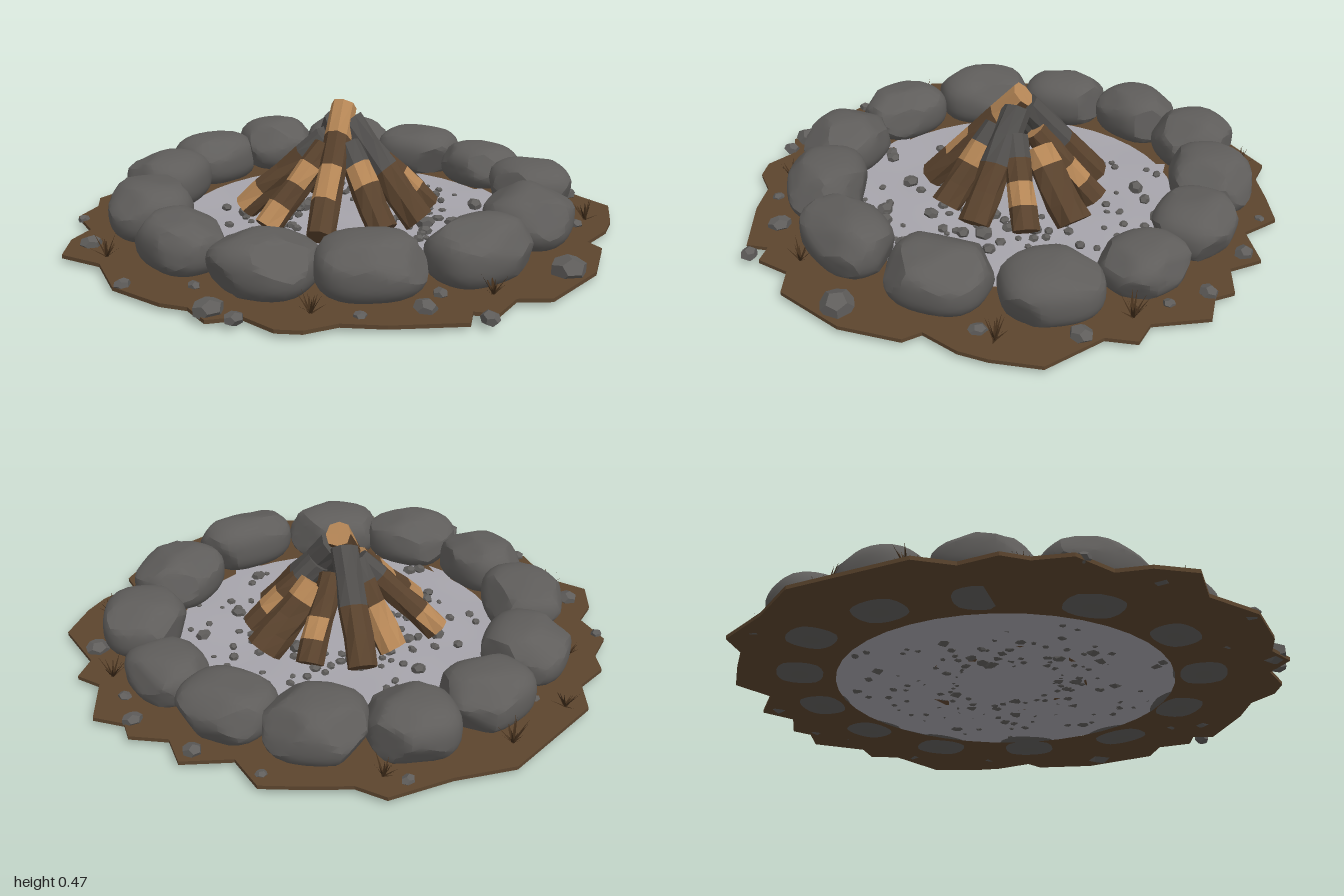
import * as THREE from 'three';
import { mergeGeometries, toCreasedNormals } from 'three/addons/utils/BufferGeometryUtils.js';

let seed = 11;
const rnd = () => {
  seed = (seed * 1664525 + 1013904223) >>> 0;
  return seed / 4294967296;
};
const range = (a, b) => a + (b - a) * rnd();

const material = (name, color, side = THREE.FrontSide) => {
  const m = new THREE.MeshStandardMaterial({ color, side });
  m.name = name;
  return m;
};

const named = (name, geometry, mat) => {
  const mesh = new THREE.Mesh(geometry, mat);
  mesh.name = name;
  return mesh;
};

// Ragged outline of the earth patch, as x, z pairs
const OUTLINE = [
  0.02, -1, 0.22, -0.93, 0.44, -0.89, 0.49, -0.79, 0.61, -0.71, 0.73, -0.62, 0.72, -0.47, 0.87, -0.38,
  0.84, -0.26, 0.94, -0.17, 0.92, -0.1, 0.99, -0.01, 0.89, 0.16, 0.93, 0.25, 0.85, 0.32, 0.84, 0.55,
  0.71, 0.66, 0.62, 0.71, 0.48, 0.74, 0.47, 0.81, 0.29, 0.93, 0.02, 0.98, -0.07, 0.91, -0.19, 0.95,
  -0.24, 0.89, -0.3, 0.94, -0.5, 0.8, -0.6, 0.7, -0.71, 0.67, -0.77, 0.61, -0.79, 0.48, -0.89, 0.43,
  -0.88, 0.32, -0.93, 0.24, -0.98, 0.04, -0.92, -0.16, -0.98, -0.31, -0.89, -0.42, -0.79, -0.47,
  -0.76, -0.62, -0.65, -0.68, -0.6, -0.76, -0.47, -0.79, -0.39, -0.9,
];

// x, z, half width along the ring, half depth, height
const STONES = [
  [-0.09, -0.72, 0.165, 0.14, 0.19], [0.22, -0.72, 0.15, 0.15, 0.2], [0.47, -0.55, 0.17, 0.15, 0.2],
  [0.64, -0.29, 0.165, 0.14, 0.18], [0.7, 0.01, 0.155, 0.13, 0.165], [0.62, 0.34, 0.17, 0.15, 0.19],
  [0.35, 0.58, 0.175, 0.155, 0.2], [-0.02, 0.7, 0.19, 0.13, 0.205], [-0.37, 0.57, 0.18, 0.145, 0.2],
  [-0.61, 0.34, 0.175, 0.15, 0.195], [-0.7, 0.01, 0.165, 0.135, 0.19], [-0.62, -0.33, 0.18, 0.15, 0.2],
  [-0.39, -0.59, 0.165, 0.15, 0.195],
];

// foot x, z; top x, y, z; radius; surface from foot to top (b bark, w bare wood, c char)
const LOGS = [
  [0.33, -0.01, 0.11, 0.25, -0.02, 0.065, 'bbbw'], [0.25, -0.18, 0.06, 0.29, -0.05, 0.05, 'bwbb'],
  [0.11, -0.31, 0.01, 0.38, -0.05, 0.055, 'bbcc'], [-0.05, -0.27, -0.02, 0.32, -0.06, 0.055, 'wwbc'],
  [-0.27, -0.25, -0.05, 0.32, -0.05, 0.05, 'wbbc'], [-0.34, -0.02, -0.08, 0.3, -0.01, 0.05, 'wbwb'],
  [-0.26, 0.18, 0.02, 0.43, -0.03, 0.052, 'bwbw'], [-0.05, 0.27, -0.03, 0.31, 0.05, 0.055, 'bbwc'],
  [0.12, 0.27, 0.02, 0.38, 0, 0.057, 'bbcc'], [0.27, 0.16, 0.06, 0.3, 0.04, 0.05, 'bwbc'],
];

const TUFTS = [
  [-0.62, 0.59], [-0.33, -0.85], [-0.05, -0.9], [0.39, -0.8], [-0.58, -0.62],
  [-0.87, -0.2], [0.65, 0.59], [-0.1, 0.84], [0.83, 0.18],
];

// Rounded boulder with a few facets planed off
function boulder(hx, hz, height) {
  const geo = new THREE.IcosahedronGeometry(1, 5);
  const planes = Array.from({ length: 9 }, () => [
    new THREE.Vector3(range(-1, 1), range(-0.3, 1), range(-1, 1)).normalize(), range(0.9, 1.03),
  ]);
  const pos = geo.attributes.position;
  const p = new THREE.Vector3();
  for (let i = 0; i < pos.count; i++) {
    p.fromBufferAttribute(pos, i);
    const norm = (Math.abs(p.x) ** 2.7 + Math.abs(p.y) ** 2.7 + Math.abs(p.z) ** 2.7) ** (1 / 2.7);
    p.divideScalar(norm);
    for (const [n, d] of planes) {
      const over = p.dot(n) - d;
      if (over > 0) p.addScaledVector(n, -over);
    }
    pos.setXYZ(i, p.x * hx, p.y * height / 2, p.z * hz);
  }
  return toCreasedNormals(geo, 0.45);
}

// Small faceted pebble
function pebble(x, y, z, r) {
  const geo = new THREE.DodecahedronGeometry(1, 0);
  geo.scale(r * range(0.8, 1.15), r * range(0.55, 0.8), r * range(0.8, 1.15));
  geo.rotateY(range(0, 6.28)).rotateX(range(-0.25, 0.25)).translate(x, y, z);
  geo.computeVertexNormals();
  return geo;
}

// Faceted log whose upper faces follow the surface string
function log([fx, fz, tx, ty, tz, r, skin]) {
  const foot = new THREE.Vector3(fx, 0.05, fz), top = new THREE.Vector3(tx, ty, tz);
  const dir = top.clone().sub(foot), sides = 8, bands = skin.length;
  const length = dir.length();
  let geo = new THREE.CylinderGeometry(r * 0.9, r, length, sides, bands);
  const pos = geo.attributes.position;
  const phase = range(0, 6);
  for (let i = 0; i < pos.count; i++) {
    const x = pos.getX(i), y = pos.getY(i), z = pos.getZ(i);
    const k = 1 + 0.07 * Math.sin(x * 90 + z * 60 + y * 25 + phase);
    pos.setXYZ(i, x * k, y + 0.12 * x * Math.sin(phase), z * k);
  }
  geo.applyQuaternion(new THREE.Quaternion().setFromUnitVectors(new THREE.Vector3(0, 1, 0), dir.normalize()));
  geo.translate((fx + tx) / 2, (0.05 + ty) / 2, (fz + tz) / 2);
  geo = geo.toNonIndexed();
  geo.computeVertexNormals();
  geo.clearGroups();
  const cells = sides * bands;
  for (let i = 0; i < cells; i++) {
    const s = skin[bands - 1 - (i % bands)];
    const up = geo.attributes.normal.getY(i * 6) > 0.1;
    geo.addGroup(i * 6, 6, s === 'c' ? 2 : s === 'w' && up ? 1 : 0);
  }
  geo.addGroup(cells * 6, sides * 3, skin.endsWith('c') ? 2 : 1);
  geo.addGroup(cells * 6 + sides * 3, sides * 3, 0);
  return geo;
}

// Dry grass: a fan of thin triangular blades
function tuft(x, z) {
  const v = [];
  for (let i = 0; i < 16; i++) {
    const a = range(0, 6.28), c = Math.cos(a), s = Math.sin(a);
    const reach = range(0.015, 0.06), w = 0.006;
    v.push(x - s * w, 0.02, z + c * w, x + s * w, 0.02, z - c * w,
      x + c * reach, range(0.04, 0.1), z + s * reach);
  }
  const geo = new THREE.BufferGeometry();
  geo.setAttribute('position', new THREE.Float32BufferAttribute(v, 3));
  geo.computeVertexNormals();
  return geo;
}

export function createModel() {
  seed = 11;
  const group = new THREE.Group();
  group.name = 'campfire';
  const earth = material('earth', 0x5c452e);
  const ash = material('ash', 0xa6a4ab, THREE.DoubleSide);
  const stone = material('stone', 0x5f5d5b);
  const bark = material('bark', 0x59422d);
  const wood = material('bareWood', 0xb58656);
  const char = material('char', 0x504e4c);
  const grass = material('dryGrass', 0x432f1c, THREE.DoubleSide);

  // Earth ring
  const pts = [];
  for (let i = 0; i < OUTLINE.length; i += 2) pts.push(new THREE.Vector2(OUTLINE[i], -OUTLINE[i + 1]));
  const shape = new THREE.Shape(pts);
  shape.holes.push(new THREE.Path().absarc(0, 0, 0.6, 0, Math.PI * 2, true));
  const ring = new THREE.ExtrudeGeometry(shape, { depth: 0.013, bevelEnabled: false, curveSegments: 20 });
  ring.rotateX(-Math.PI / 2).translate(0, 0.008, 0);
  group.add(named('earthRing', ring, earth));

  // Ash bed with gentle ripples
  const bed = new THREE.RingGeometry(0, 0.63, 40, 8).rotateX(-Math.PI / 2);
  const bp = bed.attributes.position;
  for (let i = 0; i < bp.count; i++) {
    const x = bp.getX(i), z = bp.getZ(i);
    bp.setY(i, 0.018 + 0.005 * Math.sin(x * 13 + 2 * z) * Math.cos(z * 11 - x * 3));
  }
  bed.computeVertexNormals();
  group.add(named('ashBed', bed, ash));

  // Ring of boulders
  const stones = new THREE.Group();
  stones.name = 'stoneRing';
  for (const [x, z, hx, hz, h] of STONES) {
    const mesh = named('boulder', boulder(hx, hz, h * 1.04), stone);
    mesh.position.set(x, h / 2 + 0.004, z);
    mesh.rotation.y = Math.atan2(x, z);
    stones.add(mesh);
  }
  group.add(stones);

  // Leaning logs
  const logs = new THREE.Group();
  logs.name = 'logs';
  for (const spec of LOGS) logs.add(named('log', log(spec), [bark, wood, char]));
  group.add(logs);

  // Gravel around the logs, denser near the middle
  const gravel = [];
  for (let i = 0; i < 150; i++) {
    const a = i * 2.39996, d = 0.17 + 0.4 * rnd() ** 1.3;
    const r = rnd() < 0.25 ? range(0.024, 0.034) : range(0.01, 0.021);
    gravel.push(pebble(Math.cos(a) * d, 0.018 + r * 0.4, Math.sin(a) * d, r));
  }
  group.add(named('gravel', mergeGeometries(gravel), stone));

  // Loose pebbles on the earth
  const loose = [[-0.24, 0.96, 0.032], [-0.85, 0.39, 0.05], [-0.82, 0.48, 0.03], [0.21, 0.88, 0.06],
    [-0.34, 0.79, 0.04], [-0.23, 0.74, 0.03], [0.8, 0.37, 0.045], [0.89, -0.1, 0.035], [-0.86, -0.33, 0.04],
    [-0.95, 0.05, 0.03], [0.81, -0.36, 0.035], [0.58, 0.6, 0.03], [0.69, -0.58, 0.02], [-0.28, -0.76, 0.02],
    [-0.76, -0.58, 0.025], [0.85, 0.04, 0.025], [-0.52, 0.7, 0.025], [-0.78, 0.2, 0.025], [0.34, -0.86, 0.025]];
  group.add(named('loosePebbles',
    mergeGeometries(loose.map(([x, z, r]) => pebble(x, 0.012 + r * 0.4, z, r))), stone));

  // Dry grass tufts
  group.add(named('grassTufts', mergeGeometries(TUFTS.map(([x, z]) => tuft(x, z))), grass));
  return group;
}
